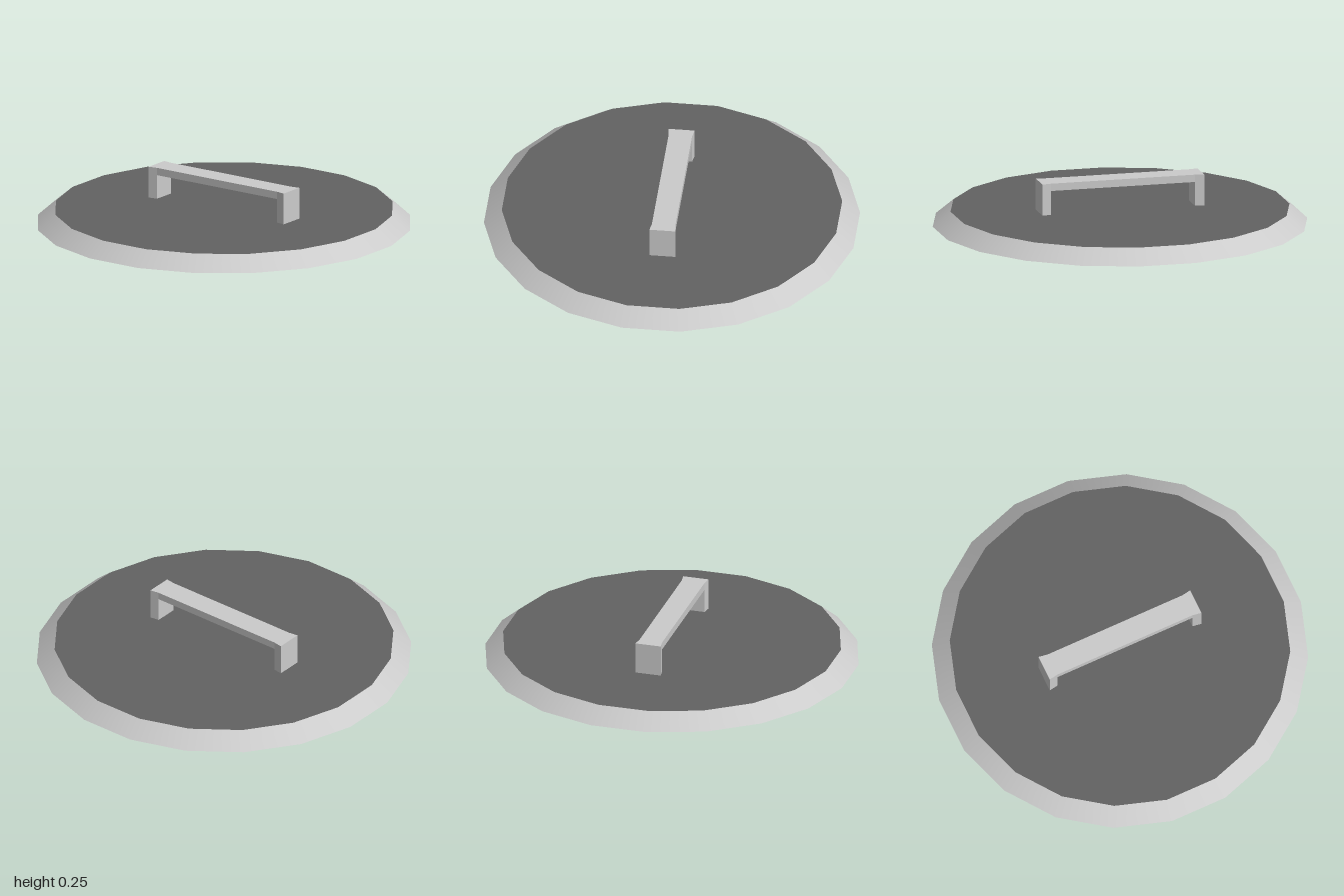
import * as THREE from 'three';

const SIDES = 20, HEIGHT = 0.08, TOP_R = 0.905;
const STEP = (Math.PI * 2) / SIDES;

export function createModel() {
  const group = new THREE.Group();
  const grey = new THREE.MeshStandardMaterial({ color: 0xcccccc });
  const dark = new THREE.MeshStandardMaterial({ color: 0x626262 });

  const add = (name, geometry, material) => {
    const mesh = new THREE.Mesh(geometry, material);
    mesh.name = name;
    group.add(mesh);
    return mesh;
  };

  // Sloping rim, smooth around its twenty sides
  add('rim', new THREE.CylinderGeometry(TOP_R, 1, HEIGHT, SIDES, 1, true), grey).position.y = HEIGHT / 2;

  // Flat plates, each with a corner on the z axis
  const plate = (name, radius, y, tilt) => {
    const geometry = new THREE.CircleGeometry(radius, SIDES, Math.PI / 2).rotateX(tilt);
    add(name, geometry, dark).position.y = y;
  };
  plate('topPlate', TOP_R, HEIGHT, -Math.PI / 2);
  plate('bottomPlate', 1, 0, Math.PI / 2);

  // Plan corner at a radius and sector edge (shape y becomes -z)
  const corner = (radius, edge) =>
    new THREE.Vector2(radius * Math.sin(edge * STEP), -radius * Math.cos(edge * STEP));

  const prism = (name, points, y0, y1) => {
    const geometry = new THREE.ExtrudeGeometry(new THREE.Shape(points), { depth: y1 - y0, bevelEnabled: false });
    geometry.rotateX(-Math.PI / 2).translate(0, y0, 0);
    add(name, geometry, grey);
  };

  // Handle: two wedge-shaped posts one sector wide, joined by a flared bar
  const OUT = 0.45, IN = 0.4, half = SIDES / 2;
  const end = (e) => [corner(IN, e), corner(OUT, e), corner(OUT, e + 1), corner(IN, e + 1)];
  prism('frontHandlePost', end(0), HEIGHT, 0.21);
  prism('backHandlePost', end(half), HEIGHT, 0.21);
  prism('handleBar', [...end(0), ...end(half)], 0.21, 0.25);

  return group;
}
